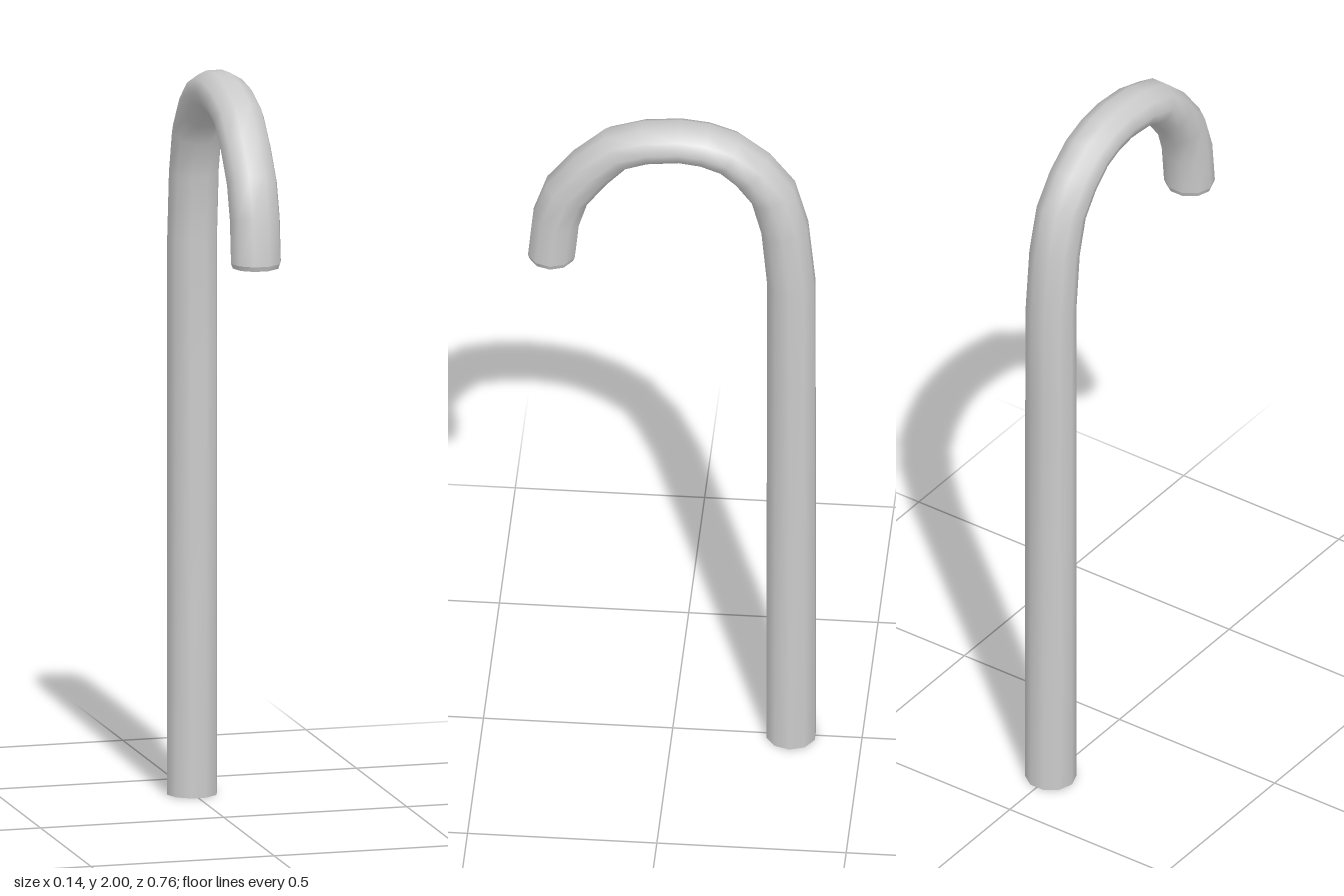
import * as THREE from 'three';

const SIDES = 10;
const WIDTH = 0.068; // half width across x

// Sweep of a ten-sided ring along stations [z, y, tangent z, tangent y, scale, half depth]
function sweep(stations) {
  const pos = [], idx = [];
  stations.forEach(([z, y, tz, ty, s, depth], i) => {
    for (let j = 0; j < SIDES; j++) {
      const a = (j / SIDES) * Math.PI * 2;
      const n = Math.sin(a) * depth * s;
      pos.push(Math.cos(a) * WIDTH * s, y - tz * n, z + ty * n);
      if (i < stations.length - 1) {
        const p = i * SIDES + j, q = i * SIDES + (j + 1) % SIDES;
        idx.push(p, p + SIDES, q, q, p + SIDES, q + SIDES);
      }
    }
  });
  const g = new THREE.BufferGeometry();
  g.setAttribute('position', new THREE.Float32BufferAttribute(pos, 3));
  g.setIndex(idx);
  g.computeVertexNormals();
  return g;
}

export function createModel() {
  const group = new THREE.Group();
  group.name = 'cane';
  const material = new THREE.MeshStandardMaterial({ color: 0xcccccc, side: THREE.DoubleSide });

  // Centre line [z, y, half depth]: straight shaft, then the hook over to the front
  const path = [
    [-0.313, 0, 0.067], [-0.313, 1.2, 0.066], [-0.313, 1.5, 0.065], [-0.296, 1.68, 0.064],
    [-0.266, 1.793, 0.064], [-0.212, 1.865, 0.062], [-0.148, 1.917, 0.058], [-0.085, 1.94, 0.056],
    [-0.02, 1.948, 0.055], [0.07, 1.939, 0.056], [0.15, 1.912, 0.059], [0.218, 1.845, 0.062],
    [0.279, 1.764, 0.064], [0.308, 1.674, 0.065], [0.319, 1.56, 0.065],
  ];
  const stations = path.map(([z, y, depth], i) => {
    const a = path[Math.max(i - 1, 0)], b = path[Math.min(i + 1, path.length - 1)];
    const t = new THREE.Vector2(b[0] - a[0], b[1] - a[1]).normalize();
    if (i < 3) t.set(0, 1); // shaft rings stay level
    if (i === path.length - 1) t.set(0, -1); // tip faces straight down
    return [z, y, t.x, t.y, 1, depth];
  });
  const rim = [0.319, 1.547, 0, -1, 0.93, 0.065];

  // Open-ended tube
  const tube = new THREE.Mesh(sweep(stations), material);
  tube.name = 'shaftAndHook';

  // Softened rim and flat end of the hook
  const tipRim = new THREE.Mesh(sweep([stations[stations.length - 1], rim]), material);
  tipRim.name = 'hookTipRim';
  const tipCap = new THREE.Mesh(sweep([rim, [0.319, 1.546, 0, -1, 0.001, 0.065]]), material);
  tipCap.name = 'hookTipCap';

  group.add(tube, tipRim, tipCap);
  return group;
}
